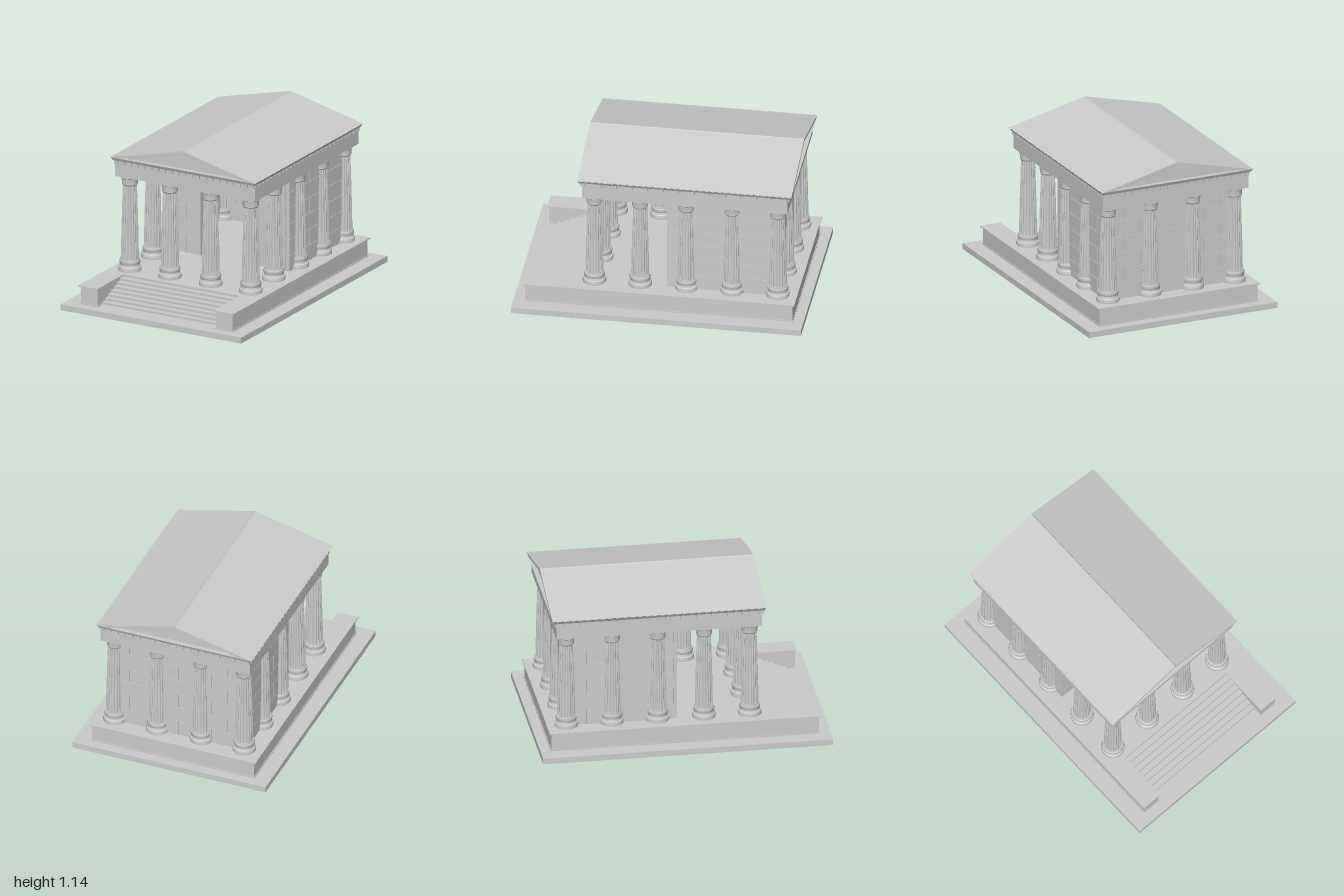
import * as THREE from 'three';
import { mergeGeometries, toCreasedNormals } from 'three/addons/utils/BufferGeometryUtils.js';

const mat = new THREE.MeshStandardMaterial({ color: 0xcccccc });

// Box geometry from its min and max on each axis
function span(x0, x1, y0, y1, z0, z1) {
  return new THREE.BoxGeometry(x1 - x0, y1 - y0, z1 - z0)
    .translate((x0 + x1) / 2, (y0 + y1) / 2, (z0 + z1) / 2);
}

function add(parent, name, geometry) {
  const mesh = new THREE.Mesh(Array.isArray(geometry) ? mergeGeometries(geometry) : geometry, mat);
  mesh.name = name;
  parent.add(mesh);
  return mesh;
}

function vectors(points) {
  return points.map(([x, y]) => new THREE.Vector2(x, y));
}

function extrude(shape, z0, z1) {
  return new THREE.ExtrudeGeometry(shape, { depth: z1 - z0, bevelEnabled: false }).translate(0, 0, z0);
}

function lathe(points) {
  return toCreasedNormals(new THREE.LatheGeometry(vectors(points), 32), 0.5);
}

// Tapered shaft with scalloped flutes
function flutedShaft(y0, y1) {
  const flutes = 20, steps = 4, h = y1 - y0;
  const g = new THREE.CylinderGeometry(1, 1, h, flutes * steps, 3, true);
  const p = g.attributes.position;
  for (let i = 0; i < p.count; i++) {
    const t = THREE.MathUtils.clamp(p.getY(i) / h + 0.5, 0, 1);
    const a = Math.atan2(p.getZ(i), p.getX(i));
    const r = 0.062 - 0.014 * Math.pow(t, 1.3) - 0.005 * Math.abs(Math.sin(a * flutes / 2));
    p.setXYZ(i, Math.cos(a) * r, p.getY(i), Math.sin(a) * r);
  }
  g.translate(0, (y0 + y1) / 2, 0);
  return toCreasedNormals(g, 0.6);
}

// Thin wall of staggered blocks along x, centred on z = 0, with grooves down to a core
function blockWall(x0, x1, shift) {
  const parts = [span(x0 + 0.002, x1 - 0.002, 0.17, 0.857, -0.012, 0.012)];
  const rows = 6, y0 = 0.175, h = 0.68 / rows, len = 0.24, gap = 0.0015;
  for (let r = 0; r < rows; r++) {
    const offset = shift + (r % 2) * len / 2;
    let a = x0;
    while (a < x1 - 1e-4) {
      let b = Math.min(x1, (Math.floor((a - offset) / len + 1e-3) + 1) * len + offset);
      if (x1 - b < 0.03) b = x1;
      parts.push(span(a + gap, b - gap, y0 + r * h + gap, y0 + (r + 1) * h - gap, -0.016, 0.016));
      a = b;
    }
  }
  return mergeGeometries(parts);
}

export function createModel() {
  const model = new THREE.Group();
  model.name = 'temple';

  // Ground slab and podium with projecting cap
  add(model, 'groundSlab', span(-0.71, 0.71, 0, 0.042, -1, 1));
  add(model, 'podium', span(-0.595, 0.595, 0.04, 0.166, -0.925, 0.575));
  add(model, 'podiumCap', span(-0.61, 0.61, 0.166, 0.175, -0.938, 0.575));
  add(model, 'podiumFoot', span(-0.6, 0.6, 0.04, 0.05, -0.93, 0.575));

  // Blocks flanking the stairs
  for (const s of [-1, 1]) {
    const cheek = new THREE.Group();
    cheek.name = s > 0 ? 'leftStairCheek' : 'rightStairCheek';
    cheek.position.x = s * 0.53;
    add(cheek, 'cheekBlock', span(-0.065, 0.065, 0.04, 0.166, 0.575, 0.92));
    add(cheek, 'cheekCap', span(-0.076, 0.076, 0.166, 0.175, 0.575, 0.932)).position.x = s * 0.004;
    add(cheek, 'cheekFoot', span(-0.07, 0.07, 0.04, 0.05, 0.575, 0.925));
    model.add(cheek);
  }

  // Front stairs
  const steps = [];
  for (let i = 1; i < 8; i++) {
    steps.push(span(-0.465, 0.465, 0.04, 0.175 - i * 0.0168, 0.57, 0.575 + i * 0.04));
  }
  add(model, 'stairs', steps);

  // Columns: free in the porch, engaged along the sides and back
  const base = lathe([[0.03, 0.175], [0.08, 0.175], [0.081, 0.19], [0.078, 0.204], [0.071, 0.208], [0.068, 0.222],
    [0.071, 0.23], [0.073, 0.24], [0.071, 0.25], [0.066, 0.252], [0.066, 0.262], [0.03, 0.262]]);
  const shaft = flutedShaft(0.26, 0.795);
  const capital = lathe([[0.03, 0.788], [0.05, 0.788], [0.055, 0.796], [0.055, 0.815], [0.058, 0.838],
    [0.063, 0.842], [0.063, 0.857]]);
  [0.46, 0.145, -0.175, -0.49, -0.805].forEach((z, i) => {
    const xs = i === 0 || i === 4 ? [-0.475, -0.16, 0.16, 0.475] : [-0.475, 0.475];
    for (const x of xs) {
      const column = new THREE.Group();
      column.name = 'column';
      column.position.set(x, 0, z);
      add(column, 'columnBase', base);
      add(column, 'columnShaft', shaft);
      add(column, 'columnCapital', capital);
      model.add(column);
    }
  });

  // Chamber walls, open at the doorway
  for (const s of [-1, 1]) {
    const side = add(model, s > 0 ? 'leftWall' : 'rightWall', blockWall(-0.821, -0.04, 0.05));
    side.rotation.y = -Math.PI / 2;
    side.position.x = s * 0.475;
    const front = add(model, 'frontWall', s > 0 ? blockWall(0.2, 0.459, 0.08) : blockWall(-0.459, -0.2, -0.08));
    front.position.z = -0.056;
  }
  add(model, 'backWall', blockWall(-0.459, 0.459, 0)).position.z = -0.805;

  // Door surround and its small cornice
  add(model, 'doorFrame', [
    span(-0.235, -0.2, 0.175, 0.82, -0.074, -0.03),
    span(0.2, 0.235, 0.175, 0.82, -0.074, -0.03),
    span(-0.235, 0.235, 0.82, 0.857, -0.074, -0.025),
  ]);
  const doorCornice = new THREE.Shape(vectors([[-0.235, 0.82], [0.235, 0.82], [0.243, 0.857], [-0.243, 0.857]]));
  add(model, 'doorCornice', extrude(doorCornice, -0.03, -0.005));

  // Entablature
  add(model, 'entablature', span(-0.55, 0.55, 0.856, 0.976, -0.882, 0.535));

  // Dentils on all four sides
  const dentils = [];
  for (let i = -10; i <= 10; i++) {
    const x = i * 0.0535;
    dentils.push(span(x - 0.013, x + 0.013, 0.948, 0.976, 0.53, 0.549));
    dentils.push(span(x - 0.013, x + 0.013, 0.948, 0.976, -0.896, -0.877));
  }
  for (let i = 0; i < 27; i++) {
    const z = -0.868 + i * 0.0534;
    for (const s of [-1, 1]) dentils.push(span(s * 0.552 - 0.007, s * 0.552 + 0.007, 0.955, 0.976, z - 0.013, z + 0.013));
  }
  add(model, 'dentils', dentils);

  // Horizontal cornice, flaring upward
  const cornice = span(-0.57, 0.57, 0.974, 0.998, -0.91, 0.563);
  const cp = cornice.attributes.position;
  for (let i = 0; i < cp.count; i++) {
    if (cp.getY(i) < 0.98) cp.setXYZ(i, Math.sign(cp.getX(i)) * 0.556, 0.974, cp.getZ(i) > 0 ? 0.552 : -0.899);
  }
  cornice.computeVertexNormals();
  add(model, 'cornice', cornice);

  // Roof with recessed pediments at both ends
  const roof = new THREE.Shape(vectors([[-0.571, 0.996], [0.571, 0.996], [0, 1.135]]));
  roof.holes.push(new THREE.Path(vectors([[-0.49, 0.9975], [0, 1.116], [0.49, 0.9975]])));
  add(model, 'roof', extrude(roof, -0.912, 0.565));
  const tympanum = new THREE.Shape(vectors([[-0.495, 0.9965], [0.495, 0.9965], [0, 1.117]]));
  add(model, 'tympanum', extrude(tympanum, -0.88, 0.533));
  add(model, 'ridgeRoll', new THREE.CylinderGeometry(0.008, 0.008, 1.477, 12)
    .rotateX(Math.PI / 2).translate(0, 1.13, -0.1735));

  // Small dentils under the sloping cornices
  const slope = Math.atan2(0.1185, 0.49), raking = [];
  for (let i = 0; i < 19; i++) {
    const x = 0.012 + i * 0.0235;
    for (const s of [-1, 1]) {
      for (const z of [0.541, -0.888]) {
        raking.push(new THREE.BoxGeometry(0.013, 0.016, 0.018).rotateZ(-s * slope)
          .translate(s * x, 1.109 - x * Math.tan(slope), z));
      }
    }
  }
  add(model, 'rakingDentils', raking);

  return model;
}
